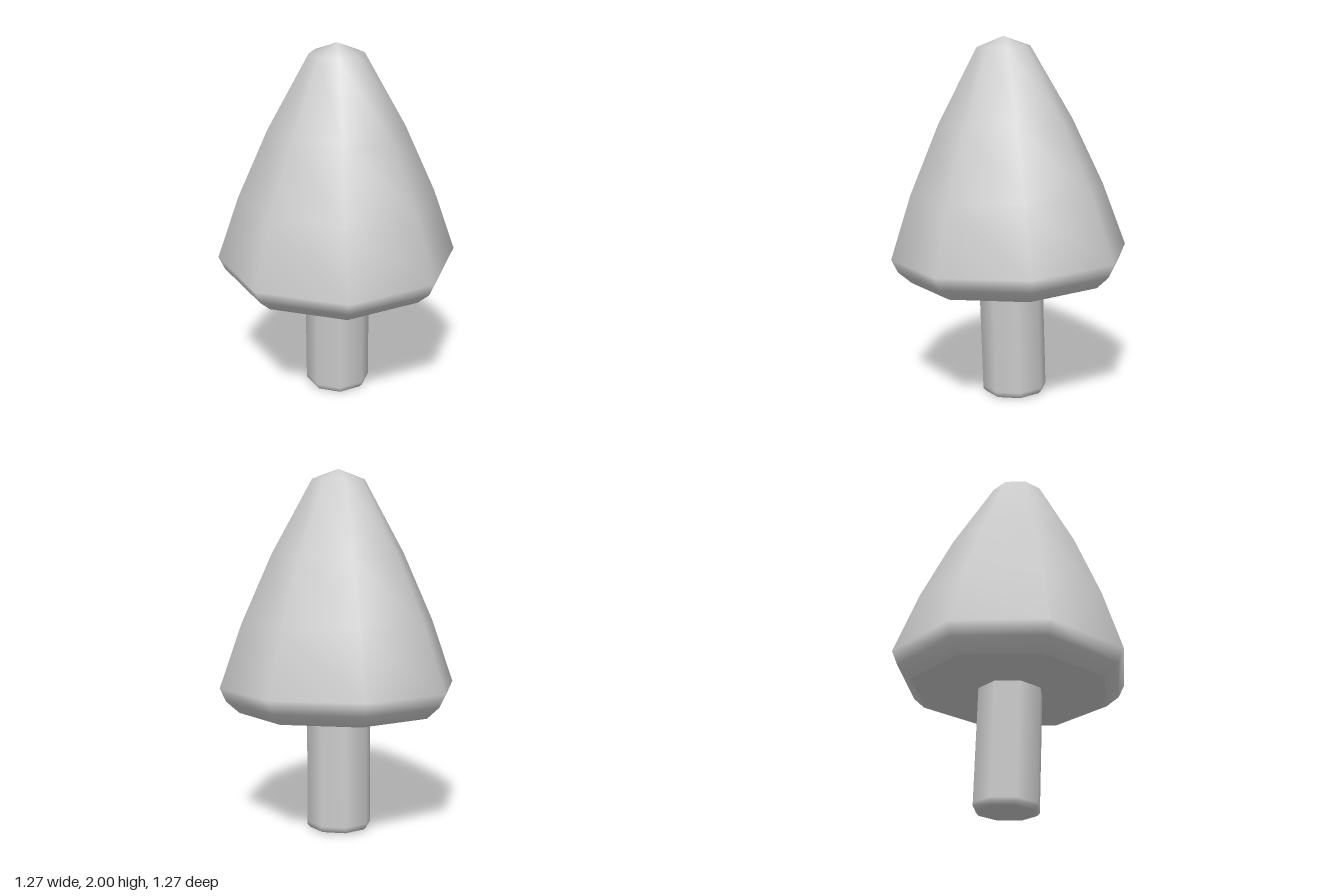
import * as THREE from 'three';

const SIDES = 8;
const TURN = 0.307; // turn of the octagon about the trunk axis

// Eight-sided turned part with smooth normals; profile runs bottom to top as [radius, height]
function turned(name, profile, material) {
  const points = profile.map(([r, y]) => new THREE.Vector2(r, y));
  const mesh = new THREE.Mesh(new THREE.LatheGeometry(points, SIDES, TURN), material);
  mesh.name = name;
  return mesh;
}

export function createModel() {
  const tree = new THREE.Group();
  tree.name = 'tree';
  const material = new THREE.MeshStandardMaterial({ color: 0xcccccc });

  // Trunk: straight post with a small bevel at its foot, its top sunk into the foliage
  const trunk = turned('trunk', [
    [0, 0], [0.155, 0], [0.165, 0], [0.181, 0.017], [0.181, 0.035], [0.181, 0.7],
  ], material);

  // Foliage: bulging cone with a flat underside, rounded lower rim and blunt tip
  const foliage = turned('foliage', [
    [0, 0.667], [0.545, 0.667], [0.558, 0.667], [0.63, 0.732], [0.664, 0.806],
    [0.54, 1.16], [0.372, 1.535], [0.147, 1.94], [0, 1.995],
  ], material);

  // The whole tree leans slightly forward
  const leaning = new THREE.Group();
  leaning.name = 'leaningTree';
  leaning.add(trunk, foliage);
  leaning.rotation.set(0.032, 0, -0.005);
  leaning.position.set(-0.005, 0.006, -0.024);
  tree.add(leaning);
  return tree;
}
